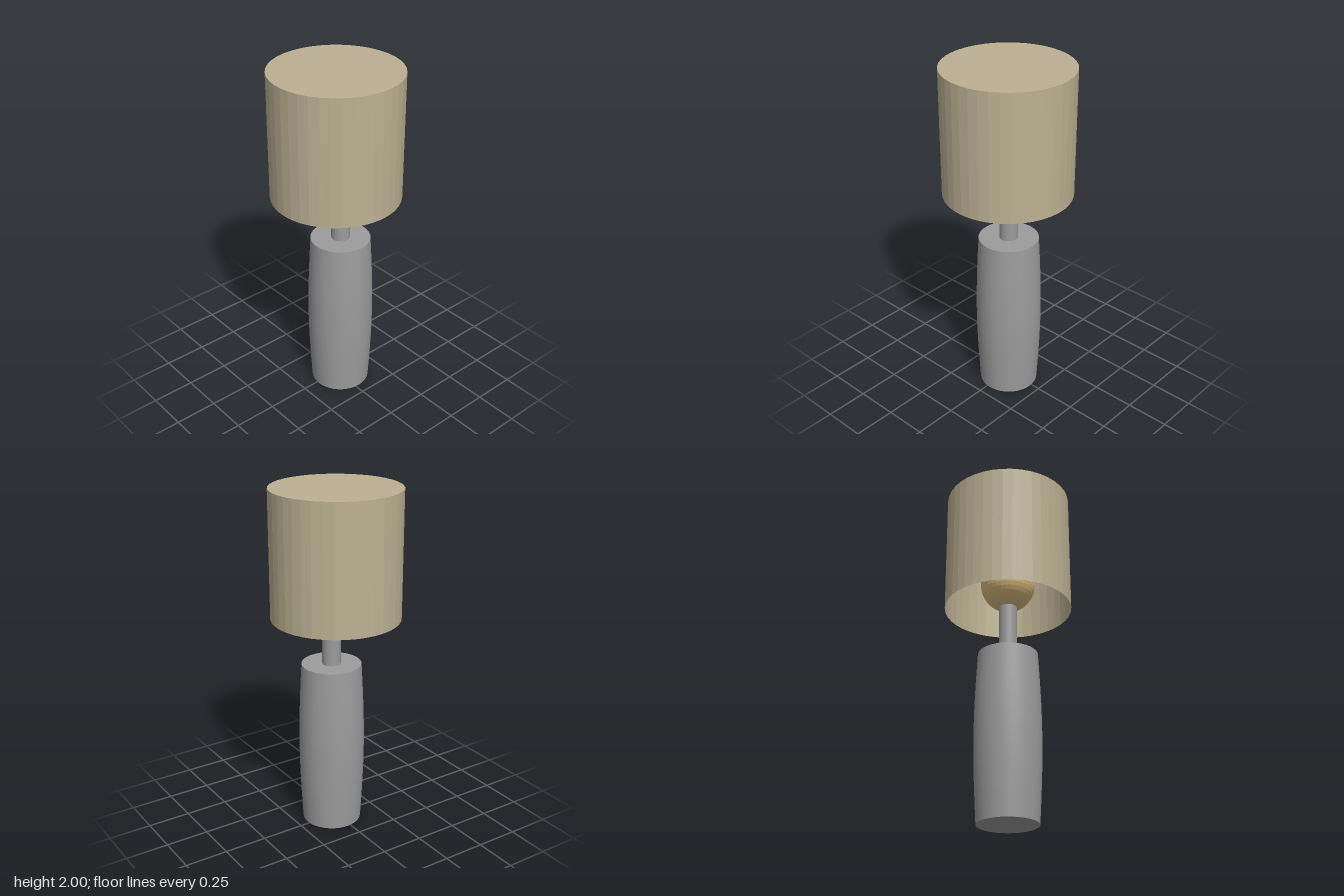
import * as THREE from 'three';

export function createModel() {
  const lamp = new THREE.Group();
  lamp.name = 'tableLamp';

  const grey = new THREE.MeshStandardMaterial({ color: 0x9c9c9c });
  grey.name = 'grey metal';
  const linen = new THREE.MeshStandardMaterial({ color: 0xbcb193, side: THREE.DoubleSide, flatShading: true });
  linen.name = 'beige linen';
  const warm = new THREE.MeshStandardMaterial({ color: 0xdfc283, flatShading: true });
  warm.name = 'warm bulb';

  // Base and stem stand slightly off the shade's axis
  const axisX = 0.02, axisZ = 0.016;
  const add = (name, geometry, material, x, y, z) => {
    const mesh = new THREE.Mesh(geometry, material);
    mesh.name = name;
    mesh.position.set(x, y, z);
    lamp.add(mesh);
  };

  // Gently bulging base body with separate flat caps for crisp rims
  const height = 0.99, rimRadius = 0.172, midRadius = 0.19;
  const profile = [];
  for (let i = 0; i <= 10; i++) {
    const t = i / 10;
    profile.push(new THREE.Vector2(rimRadius + (midRadius - rimRadius) * Math.sin(Math.PI * t), height * t));
  }
  add('baseBody', new THREE.LatheGeometry(profile, 40), grey, axisX, 0, axisZ);
  for (const [name, y, turn] of [['baseTop', height, -1], ['baseBottom', 0, 1]]) {
    const cap = new THREE.CircleGeometry(rimRadius, 40).rotateX(turn * Math.PI / 2);
    add(name, cap, grey, axisX, y, axisZ);
  }

  // Stem reaching into the bulb
  add('stem', new THREE.CylinderGeometry(0.053, 0.053, 0.33, 32), grey, axisX, 1.145, axisZ);

  // Round bulb inside the shade
  add('bulb', new THREE.SphereGeometry(0.16, 32, 20), warm, axisX, 1.445, axisZ);

  // Drum shade: closed on top, open underneath
  const radius = 0.368, bottom = 1.267, top = 2;
  add('shadeWall', new THREE.CylinderGeometry(radius, radius, top - bottom, 40, 1, true), linen, 0, (top + bottom) / 2, 0);
  add('shadeTop', new THREE.CircleGeometry(radius, 40).rotateX(-Math.PI / 2), linen, 0, top, 0);

  return lamp;
}
